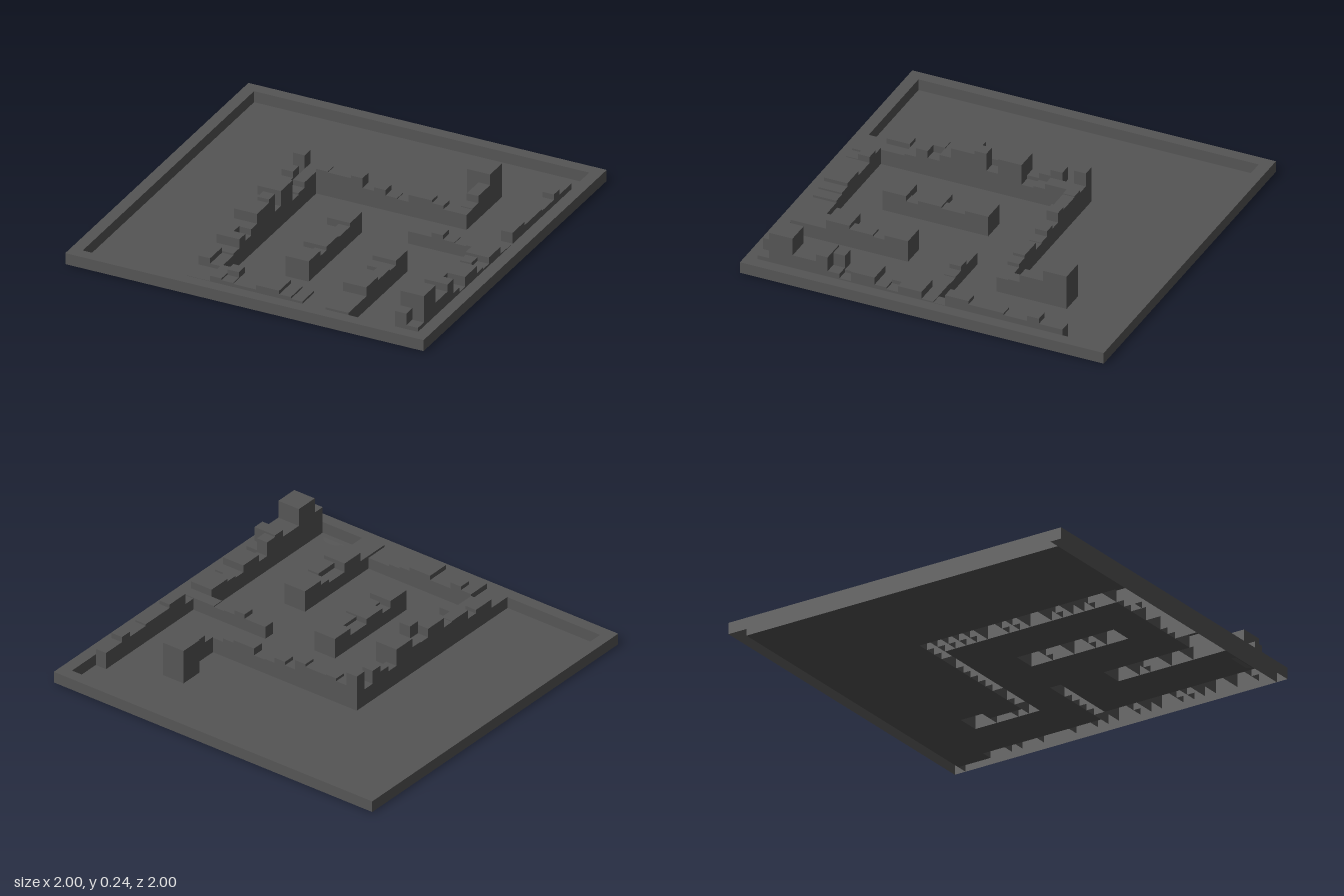
import * as THREE from 'three';
import { mergeGeometries } from 'three/addons/utils/BufferGeometryUtils.js';

const N = 31, CELL = 2 / N, BASE = 0.006, RIM = 0.068;
const at = (i) => i * CELL - 1;
const stone = new THREE.MeshStandardMaterial({ color: 0x555555, side: THREE.DoubleSide, flatShading: true });
const marker = new THREE.MeshStandardMaterial({ color: 0x5c5c5c, side: THREE.DoubleSide });

// Box hollow from below: x0..x1, z0..z1 in grid cells, h = height of its top
function hollowBlock([x0, x1, z0, z1, h]) {
  const g = new THREE.BoxGeometry((x1 - x0) * CELL, h - BASE, (z1 - z0) * CELL);
  const index = Array.from(g.index.array);
  index.splice(18, 6); // drop the bottom face
  g.setIndex(index);
  g.translate((at(x0) + at(x1)) / 2, (h + BASE) / 2, (at(z0) + at(z1)) / 2);
  return g;
}

const parts = {
  rim: [[0, 31, 0, 1, RIM], [0, 31, 30, 31, RIM], [0, 1, 1, 30, RIM], [30, 31, 1, 30, RIM]],
  leftWall: [
    [10, 11, 11, 12, 0.205], [11, 12, 11, 12, 0.13], [10, 11, 12, 13, 0.1], [11, 12, 12, 13, 0.13],
    [10, 11, 13, 14, 0.175], [11, 12, 13, 14, 0.13], [10, 11, 14, 15, 0.14], [11, 12, 14, 15, 0.1],
    [10, 11, 15, 16, 0.11], [11, 12, 15, 16, 0.09], [10, 12, 16, 18, 0.205],
    [10, 11, 18, 19, 0.155], [11, 12, 18, 19, 0.12], [10, 11, 19, 20, 0.15], [11, 12, 19, 20, 0.22],
    [10, 12, 20, 22, 0.2], [10, 12, 22, 23, 0.145], [10, 11, 23, 24, 0.15], [11, 12, 23, 24, 0.11],
    [10, 12, 24, 25, 0.15], [10, 12, 25, 26, 0.1], [10, 11, 26, 28, 0.12], [11, 12, 26, 28, 0.09],
    [10, 12, 28, 30, 0.07],
  ],
  backWall: [
    [12, 13, 11, 12, 0.145], [13, 15, 11, 12, 0.14], [15, 16, 11, 12, 0.155], [16, 17, 11, 12, 0.1],
    [17, 18, 11, 12, 0.12], [18, 19, 11, 12, 0.09], [19, 20, 11, 12, 0.085], [20, 22, 11, 12, 0.125],
    [22, 23, 11, 12, 0.11], [23, 25, 11, 12, 0.09], [24, 25, 10, 11, 0.095], [24, 25, 8, 10, 0.135],
  ],
  backTower: [[23, 25, 6, 8, 0.195]],
  frontWall: [
    [12, 13, 28, 30, 0.1], [13, 14, 28, 29, 0.12], [13, 14, 29, 30, 0.09], [14, 16, 28, 30, 0.085],
    [16, 18, 28, 30, 0.11], [18, 19, 28, 30, 0.09], [19, 20, 28, 30, 0.08], [20, 22, 28, 30, RIM],
  ],
  middleIsland: [
    [16, 18, 16, 18, 0.12], [16, 17, 18, 20, 0.08], [17, 18, 18, 20, 0.1], [16, 18, 20, 22, 0.11],
    [16, 17, 22, 23, 0.08], [17, 18, 22, 23, 0.09], [16, 18, 23, 25, 0.12],
  ],
  frontIsland: [
    [22, 24, 20, 22, 0.125], [22, 24, 22, 23, 0.1], [22, 23, 23, 25, 0.08], [23, 24, 23, 25, 0.11],
    [22, 24, 25, 27, 0.13], [22, 24, 27, 30, 0.08],
  ],
  crossWall: [
    [22, 24, 15, 16, 0.075], [24, 25, 15, 16, 0.1], [25, 26, 15, 16, 0.075], [26, 27, 15, 16, 0.07],
    [27, 28, 15, 16, 0.075], [28, 30, 15, 16, 0.075],
  ],
  rightWall: [
    [29, 30, 4, 6, 0.1], [29, 30, 6, 7, 0.13], [29, 30, 7, 9, 0.1], [29, 30, 9, 12, 0.11],
    [29, 30, 12, 14, 0.13], [29, 30, 14, 15, 0.07],
  ],
  rightBlocks: [
    [28, 30, 16, 18, 0.115], [28, 29, 18, 19, 0.1], [29, 30, 18, 19, 0.08], [28, 30, 19, 20, 0.09],
    [28, 30, 20, 22, 0.13], [28, 29, 22, 23, 0.09], [29, 30, 22, 23, 0.075], [28, 29, 23, 24, 0.17],
    [29, 30, 23, 24, 0.1], [28, 30, 24, 25, 0.18], [28, 30, 25, 27, 0.14],
    [28, 29, 29, 30, 0.155], [29, 30, 29, 30, 0.09],
  ],
  frontTower: [[28, 30, 27, 29, 0.238]],
};

export function createModel() {
  const model = new THREE.Group();
  const add = (name, geometry, material = stone) => {
    const mesh = new THREE.Mesh(geometry, material);
    mesh.name = name;
    model.add(mesh);
    return mesh;
  };

  // Rim, walls and towers
  for (const [name, blocks] of Object.entries(parts)) add(name, mergeGeometries(blocks.map(hollowBlock)));

  // Floor: strips over every row, left open beneath the hollow blocks
  const all = Object.values(parts).flat();
  const covered = (x, z) => all.some(([x0, x1, z0, z1]) => x >= x0 && x < x1 && z >= z0 && z < z1);
  const strips = [];
  for (let z = 1; z < N - 1; z++) {
    for (let x = 1, start = -1; x < N; x++) {
      const open = !covered(x, z);
      if (open && start < 0) start = x;
      if (!open && start >= 0) {
        strips.push(new THREE.PlaneGeometry((x - start) * CELL, CELL).rotateX(-Math.PI / 2)
          .translate((at(start) + at(x)) / 2, BASE, at(z + 0.5)));
        start = -1;
      }
    }
  }
  add('floor', mergeGeometries(strips));

  // Tilted half disc lying at the front edge
  const disc = add('floorMarker', new THREE.CircleGeometry(0.072, 24, 0, Math.PI), marker);
  disc.rotation.x = -Math.PI / 2 + 0.17;
  disc.position.set(0.71, 0.001, 0.934);
  return model;
}
